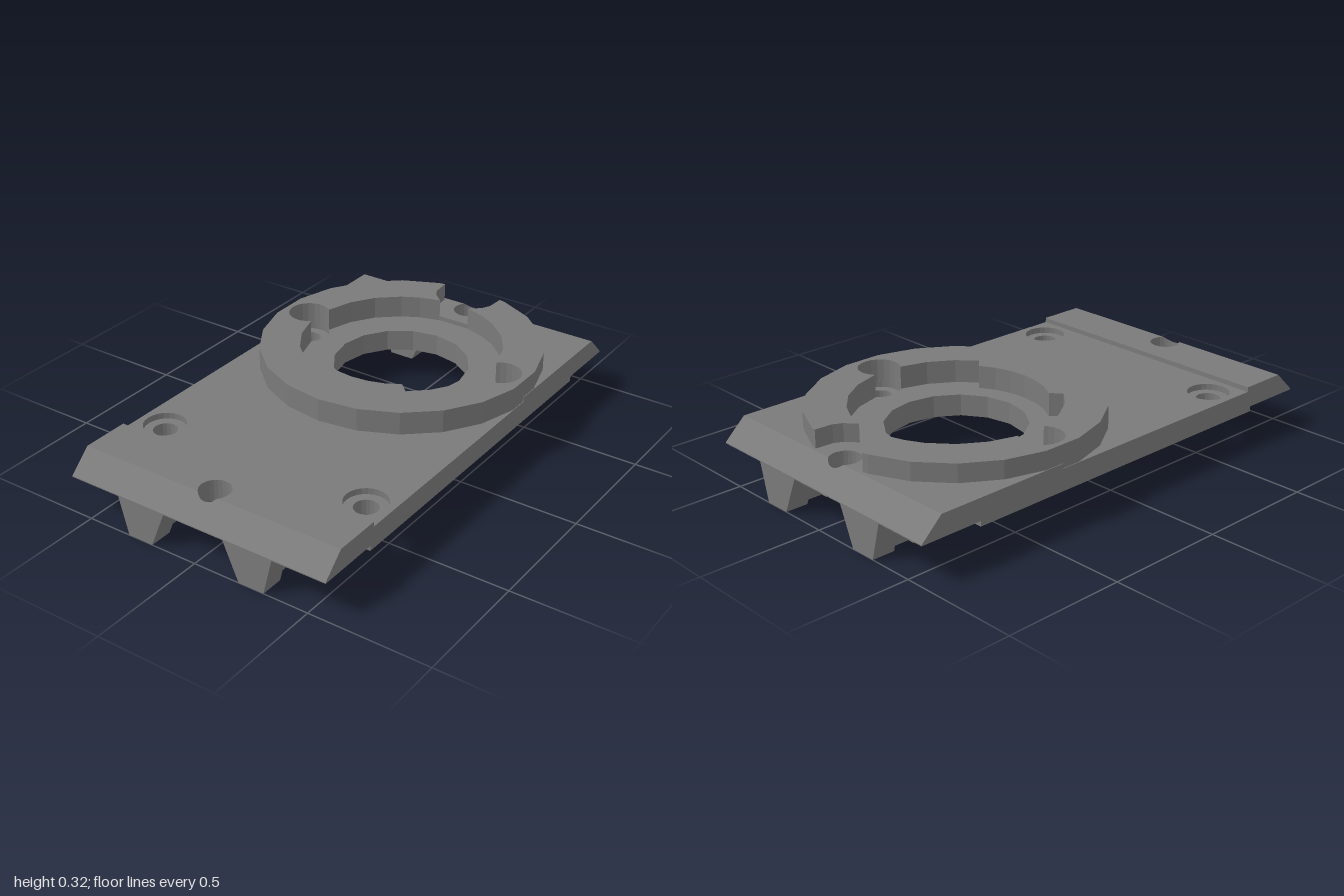
import * as THREE from 'three';

const grey = new THREE.MeshStandardMaterial({ color: 0x7a7a7a });
grey.name = 'grey';

const W = 0.577;         // half width of the plate
const CZ = -0.335;       // z of the ring centre
const EDGE = 0.91;       // |z| where the end chamfers begin
const PIN = { z: 0.867, r: 0.062 };
const TILT = Math.asin((EDGE - PIN.z) / PIN.r);
const SCREW_X = 0.467;
const Y = { pad: 0.135, body: 0.156, seat: 0.2, top: 0.225, deck: 0.245, ring: 0.32 };

// points [x, z] on an arc, angle from +x towards +z
function arc(cx, cz, r, a0, a1, n) {
  const pts = [];
  for (let i = 0; i <= n; i++) {
    const a = a0 + (a1 - a0) * i / n;
    pts.push([cx + r * Math.cos(a), cz + r * Math.sin(a)]);
  }
  return pts;
}
const circle = (x, z, r, n) => arc(x, z, r, 0, Math.PI * 2, n).slice(0, n);
const flipX = pts => pts.map(([x, z]) => [-x, z]);
const flipZ = pts => pts.map(([x, z]) => [x, -z]);
// point at an angle in degrees from the front of the ring
const polar = (deg, r) => {
  const a = deg * Math.PI / 180;
  return [r * Math.sin(a), CZ + r * Math.cos(a)];
};

// extrudes a plan outline between two heights, outline and holes wound oppositely
function slab(pts, y0, y1, holes = []) {
  const wind = (p, clockwise) => {
    const v = p.map(([x, z]) => new THREE.Vector2(x, -z));
    return THREE.ShapeUtils.isClockWise(v) === clockwise ? v : v.reverse();
  };
  const shape = new THREE.Shape(wind(pts, false));
  holes.forEach(h => shape.holes.push(new THREE.Path(wind(h, true))));
  const g = new THREE.ExtrudeGeometry(shape, { depth: y1 - y0, bevelEnabled: false });
  g.rotateX(-Math.PI / 2);
  g.translate(0, y0, 0);
  return g;
}

export function createModel() {
  const model = new THREE.Group();
  model.name = 'mountingPlate';
  const add = (name, geometry, parent = model) => {
    const m = new THREE.Mesh(geometry, grey);
    m.name = name;
    parent.add(m);
  };

  // holes
  const bore = circle(0, CZ, 0.28, 16);
  const screws = [[SCREW_X, CZ], [-SCREW_X, CZ], [SCREW_X, 0.6], [-SCREW_X, 0.6]];
  const screwHoles = screws.map(([x, z]) => circle(x, z, 0.048, 20));
  const counterbores = screws.map(([x, z]) => circle(x, z, 0.085, 24));

  // end hole, split at the chamfer line, from +x to -x
  const inner = arc(0, PIN.z, PIN.r, TILT, -Math.PI - TILT, 18);
  const outer = arc(0, PIN.z, PIN.r, TILT, Math.PI - TILT, 10);

  // plate body
  const body = [
    [W, -EDGE], [W, EDGE], ...inner, [-W, EDGE], [-W, -EDGE],
    ...flipZ(inner).reverse()
  ];
  add('undersidePad', slab([[-W, -0.735], [W, -0.735], [W, 0.735], [-W, 0.735]],
    Y.pad, Y.body, [bore, ...screwHoles]));
  add('plateLower', slab(body, Y.body, Y.seat, [bore, ...screwHoles]));
  add('plateUpper', slab(body, Y.seat, Y.top, [bore, ...counterbores]));

  // raised end bar and the raised deck behind the ring
  add('frontBar', slab([[-W, 0.713], [W, 0.713], [W, EDGE], ...inner, [-W, EDGE]],
    Y.top, Y.deck));
  const curve = [[90, 0.56], [108, 0.56], [126, 0.56], [144, 0.56], [156, 0.55],
    [162, 0.5]].map(([d, r]) => polar(d, r));
  curve.push([0.07, -0.746]);
  add('backDeck', slab([
    [W, CZ], [W, -EDGE], ...flipZ(inner), [-W, -EDGE], [-W, CZ],
    ...flipX(curve), ...curve.slice().reverse()
  ], Y.top, Y.deck));

  // sloping ends, each cut by its pin hole
  const end = [[W, EDGE], [W, 1], [-W, 1], [-W, EDGE], ...outer.slice().reverse()];
  for (const [name, pts] of [['frontChamfer', end], ['backChamfer', flipZ(end)]]) {
    const g = slab(pts, Y.body, Y.deck);
    const p = g.attributes.position;
    for (let i = 0; i < p.count; i++) {
      if (p.getY(i) > 0.2) p.setY(i, Y.deck - (Math.abs(p.getZ(i)) - EDGE) * 0.944);
    }
    g.computeVertexNormals();
    add(name, g);
  }

  // ring: half of its outline, inside edge first, then outside edge
  const half = [
    ...[0, 11.3, 22.6, 33.8].map(d => polar(d, 0.36)),
    ...[35.5, 49, 65, 81].map(d => polar(d, 0.415)),
    ...arc(SCREW_X, CZ, 0.085, 2.1, -2.1, 14),
    ...[99, 115, 131, 147, 158].map(d => polar(d, 0.415)),
    [0.07, -0.746], [0.115, -0.785], [0.133, -0.82], [0.138, -0.896]
  ];
  for (let k = 10; k >= 0; k--) half.push(polar(k * 360 / 22, 0.58));
  add('ringLeft', slab(half, Y.top, Y.ring));
  add('ringRight', slab(flipX(half), Y.top, Y.ring));

  // tapered feet with a groove across both flanks
  for (const end of [1, -1]) {
    for (const side of [1, -1]) {
      const foot = new THREE.Group();
      foot.name = (end > 0 ? 'front' : 'back') + (side > 0 ? 'Left' : 'Right') + 'Foot';
      for (const [z0, z1, cut] of [[0.735, 0.817, 0], [0.817, 0.905, 0.028], [0.905, 1, 0]]) {
        const shape = new THREE.Shape([
          [0.2 + cut, 0], [0.31 - cut, 0], [0.35 - cut, Y.body], [0.135 + cut, Y.body]
        ].map(([x, y]) => new THREE.Vector2(side * x, y)));
        const g = new THREE.ExtrudeGeometry(shape, { depth: z1 - z0, bevelEnabled: false });
        g.translate(0, 0, end > 0 ? z0 : -z1);
        add(cut ? 'footGroove' : 'footBlock', g, foot);
      }
      model.add(foot);
    }
  }
  return model;
}
